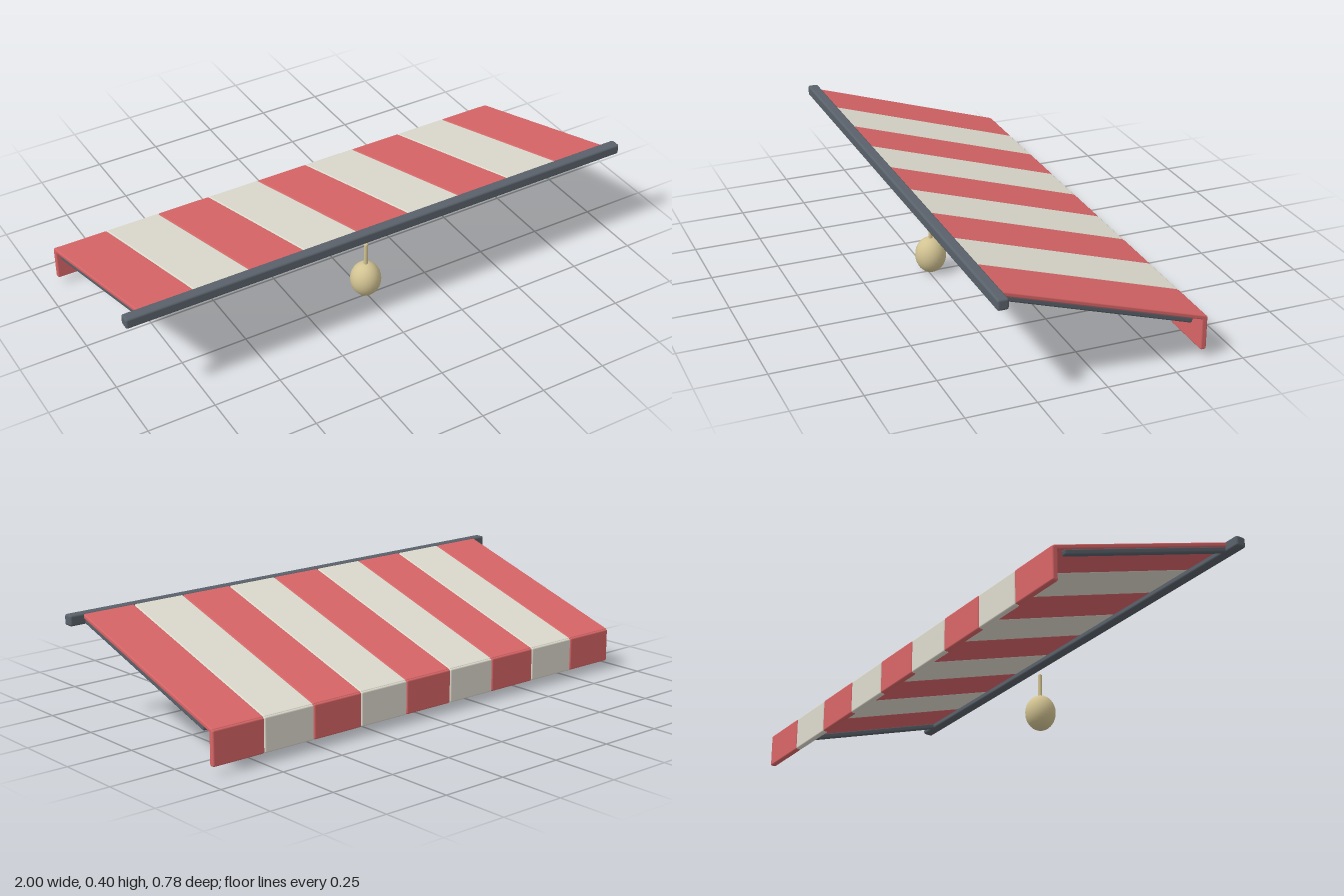
import * as THREE from 'three';
import { RoundedBoxGeometry } from 'three/addons/geometries/RoundedBoxGeometry.js';

const material = (name, color) => {
  const m = new THREE.MeshStandardMaterial({ color });
  m.name = name;
  return m;
};

export function createModel() {
  const red = material('red canvas', 0xd86567);
  const cream = material('cream canvas', 0xdedbce);
  const metal = material('grey metal', 0x59616a);
  const wood = material('pale wood', 0xd2c392);
  const awning = new THREE.Group();
  awning.name = 'awning';

  const add = (name, geometry, mat, x, y, z, tilt = 0) => {
    const mesh = new THREE.Mesh(geometry, mat);
    mesh.name = name;
    mesh.position.set(x, y, z);
    mesh.rotation.x = tilt;
    awning.add(mesh);
    return mesh;
  };
  // Box running down the slope between two (z, y) points
  const sloped = (name, mat, x, width, thick, z0, y0, z1, y1) => {
    const length = Math.hypot(z1 - z0, y1 - y0);
    const geo = new RoundedBoxGeometry(width, thick, length, 2, thick * 0.3);
    add(name, geo, mat, x, (y0 + y1) / 2, (z0 + z1) / 2, -Math.atan2(y0 - y1, z0 - z1));
  };

  // Mounting bar
  add('mountingBar', new RoundedBoxGeometry(2, 0.04, 0.04, 2, 0.008), metal, 0, 0.376, 0.369);

  // Striped canvas and hanging valance
  const count = 9, step = 0.2103;
  for (let i = 0; i < count; i++) {
    const x = (i - (count - 1) / 2) * step;
    const mat = i % 2 ? cream : red;
    sloped('canvasStripe', mat, x, step - 0.001, 0.016, 0.365, 0.389, -0.382, 0.149);
    add('valanceStripe', new RoundedBoxGeometry(step - 0.001, 0.125, 0.022, 2, 0.006),
      mat, x, 0.0925, -0.378);
  }

  // Support arms under both edges
  for (const side of [-1, 1]) {
    sloped('supportArm', metal, side * 0.93, 0.022, 0.021, 0.36, 0.371, -0.335, 0.147);
  }

  // Pull knob with its short stem
  add('pullKnob', new THREE.SphereGeometry(0.057, 24, 16), wood, 0, 0.068, 0.24)
    .scale.y = 0.068 / 0.057;
  add('pullStem', new THREE.CylinderGeometry(0.0075, 0.0075, 0.1, 12), wood, 0, 0.172, 0.24);
  add('stemTip', new THREE.CylinderGeometry(0.004, 0.0075, 0.005, 12), wood, 0, 0.2245, 0.24);

  return awning;
}
